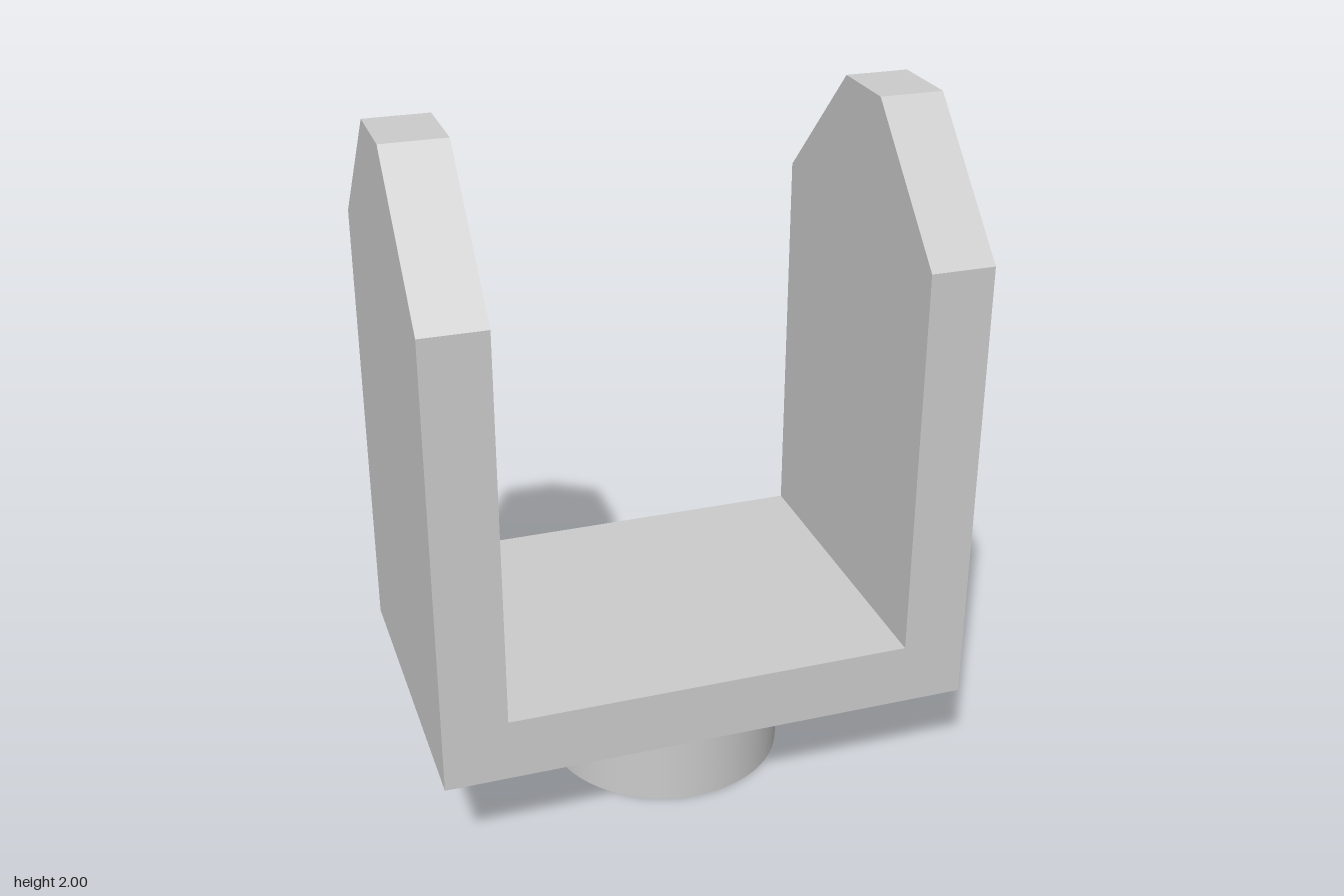
import * as THREE from 'three';

const HALF_X = 0.775, HALF_Z = 0.488, WALL = 0.185;
const BOTTOM = 0.285, FLOOR = 0.47, TOP = 2;

export function createModel() {
  const group = new THREE.Group();
  const material = new THREE.MeshStandardMaterial({ color: 0xcccccc });
  const add = (name, geometry, x, y, z) => {
    const mesh = new THREE.Mesh(geometry, material);
    mesh.name = name;
    mesh.position.set(x, y, z);
    group.add(mesh);
  };

  // Side plate: tall rectangle with both upper corners cut off
  const profile = new THREE.Shape([
    [-HALF_Z, BOTTOM], [HALF_Z, BOTTOM], [HALF_Z, 1.627],
    [0.115, TOP], [-0.115, TOP], [-HALF_Z, 1.627],
  ].map(([z, y]) => new THREE.Vector2(z, y)));
  const arm = new THREE.ExtrudeGeometry(profile, { depth: WALL, bevelEnabled: false });
  arm.translate(0, 0, -WALL / 2).rotateY(Math.PI / 2);
  for (const [name, side] of [['leftArm', 1], ['rightArm', -1]]) {
    add(name, arm, side * (HALF_X - WALL / 2), 0, 0);
  }

  // Floor plate joining the arms
  const floor = new THREE.BoxGeometry(2 * (HALF_X - WALL), FLOOR - BOTTOM, 2 * HALF_Z);
  add('floorPlate', floor, 0, (BOTTOM + FLOOR) / 2, 0);

  // Round mounting stub underneath, slightly forward of centre
  const stub = new THREE.CylinderGeometry(0.354, 0.354, BOTTOM, 64);
  add('mountingStub', stub, 0.003, BOTTOM / 2, 0.02);

  return group;
}
